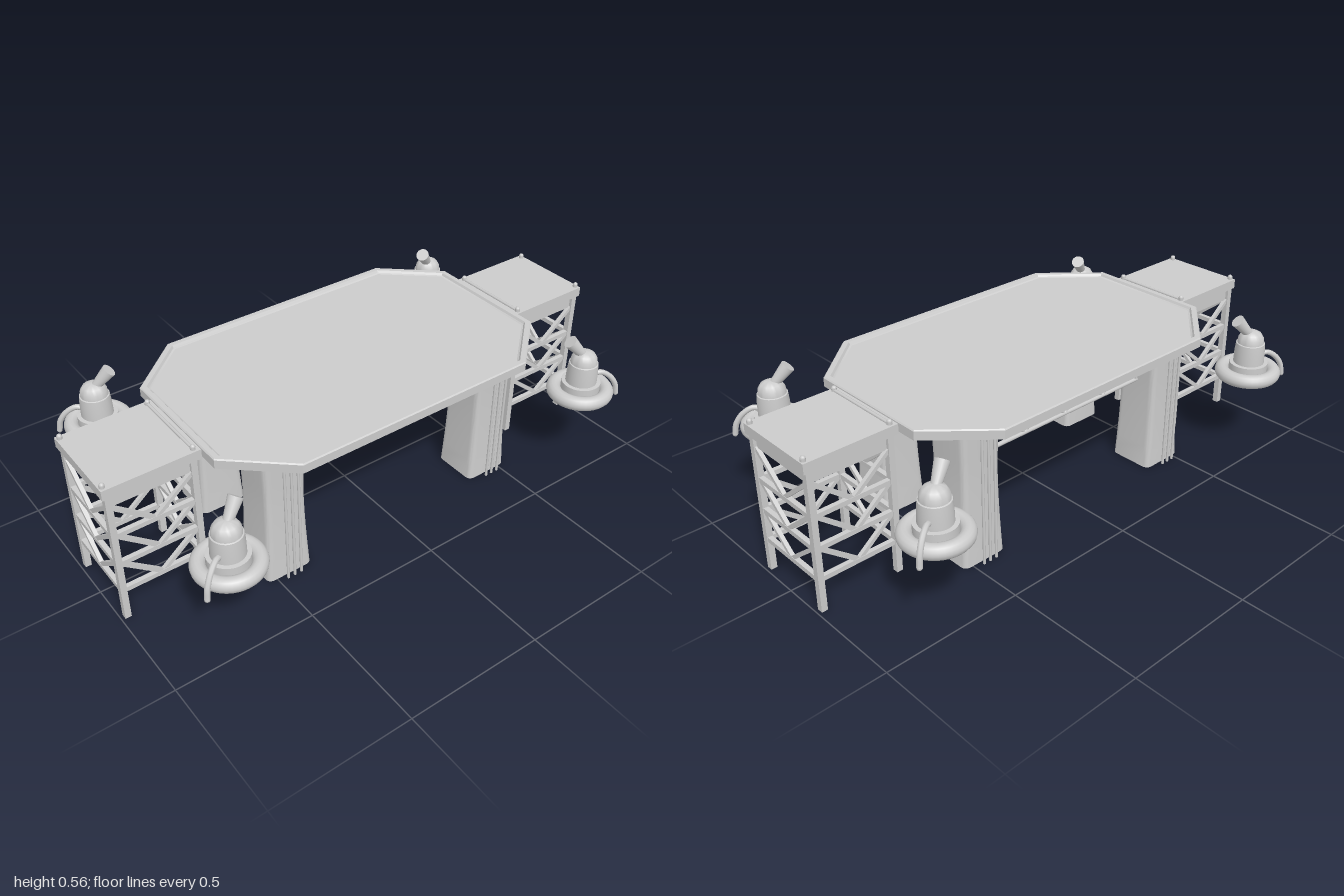
import * as THREE from 'three';
import { toCreasedNormals } from 'three/addons/utils/BufferGeometryUtils.js';

const grey = new THREE.MeshStandardMaterial({ color: 0xcccccc });
const greyOpen = new THREE.MeshStandardMaterial({ color: 0xcccccc, side: THREE.DoubleSide });
const V = (x, y, z) => new THREE.Vector3(x, y, z);

function add(parent, name, geometry, material = grey) {
  const mesh = new THREE.Mesh(geometry, material);
  mesh.name = name;
  parent.add(mesh);
  return mesh;
}

function box(parent, name, x0, x1, y0, y1, z0, z1) {
  const m = add(parent, name, new THREE.BoxGeometry(x1 - x0, y1 - y0, z1 - z0));
  m.position.set((x0 + x1) / 2, (y0 + y1) / 2, (z0 + z1) / 2);
}

// Round rod or tapered pipe between two points
function rod(parent, name, a, b, r0, r1 = r0, sides = 10) {
  const m = add(parent, name, new THREE.CylinderGeometry(r1, r0, a.distanceTo(b), sides));
  m.position.copy(a).add(b).multiplyScalar(0.5);
  m.quaternion.setFromUnitVectors(V(0, 1, 0), b.clone().sub(a).normalize());
}

// Square bar between two points
function bar(parent, name, a, b, w) {
  const m = add(parent, name, new THREE.BoxGeometry(w, w, a.distanceTo(b)));
  m.position.copy(a).add(b).multiplyScalar(0.5);
  m.lookAt(b);
}

// Skin over a stack of closed loops
function loft(rings) {
  const pts = [];
  for (let k = 0; k < rings.length - 1; k++) {
    rings[k].forEach((a, i) => {
      const j = (i + 1) % rings[k].length;
      const b = rings[k][j], c = rings[k + 1][j], d = rings[k + 1][i];
      pts.push(a, d, b, b, d, c);
    });
  }
  return toCreasedNormals(new THREE.BufferGeometry().setFromPoints(pts), 0.5);
}

// Rectangle with cut corners, shrunk by an inset
function octagon(inset) {
  const x = 0.662 - inset, z = 0.415 - inset;
  const cx = 0.46 - inset * 0.38, cz = 0.235 - inset * 0.45;
  return [[cx, -z], [x, -cz], [x, cz], [cx, z], [-cx, z], [-x, cz], [-x, -cz], [-cx, -z]];
}

function makeDeck() {
  const g = new THREE.Group();
  g.name = 'deck';
  const shape = new THREE.Shape(octagon(0.02).map(p => new THREE.Vector2(...p)));
  const panel = new THREE.ExtrudeGeometry(shape, { depth: 0.021, bevelEnabled: false });
  add(g, 'deckPanel', panel.rotateX(-Math.PI / 2).translate(0, 0.517, 0));
  // Rim section, from the underside round to the sloping inner face
  const section = [[0.026, 0.514], [0, 0.514], [0, 0.545], [0.004, 0.549], [0.021, 0.549], [0.026, 0.541], [0.034, 0.537]];
  add(g, 'deckRim', loft(section.map(([inset, y]) => octagon(inset).map(p => V(p[0], y, p[1])))));
  return g;
}

// Open rounded square column with a narrow waist, plus pipes on its outer face
function makeLeg() {
  const g = new THREE.Group();
  g.name = 'leg';
  const h = 0.087, r = 0.025, s = new THREE.Shape();
  s.moveTo(-h + r, -h);
  s.lineTo(h - r, -h); s.quadraticCurveTo(h, -h, h, -h + r);
  s.lineTo(h, h - r); s.quadraticCurveTo(h, h, h - r, h);
  s.lineTo(-h + r, h); s.quadraticCurveTo(-h, h, -h, h - r);
  s.lineTo(-h, -h + r); s.quadraticCurveTo(-h, -h, -h + r, -h);
  const outline = s.getPoints(6).slice(0, -1);
  const rings = [];
  for (let i = 0; i <= 12; i++) {
    const t = i / 12;
    const k = 1 - 0.14 * Math.sin(Math.min(t / 0.65, 1) * Math.PI / 2) + 0.06 * Math.max(0, (t - 0.65) / 0.35);
    rings.push(outline.map(p => V(p.x * k, 0.52 * t, p.y * (0.4 + 0.6 * k))));
  }
  add(g, 'legColumn', loft(rings), greyOpen);
  for (const x of [-0.022, 0.004, 0.03])
    rod(g, 'legPipe', V(x, 0.005, 0.107), V(x, 0.52, 0.107), 0.005, 0.005, 8);
  return g;
}

// Zigzag girder between a pair of legs
function makeGirder() {
  const g = new THREE.Group();
  g.name = 'girder';
  const L = 0.375, lo = 0.342, hi = 0.424, n = 8;
  for (const y of [lo, hi]) rod(g, 'girderChord', V(-L, y, 0), V(L, y, 0), 0.008);
  rod(g, 'girderPipe', V(-L, 0.381, -0.02), V(L, 0.381, -0.02), 0.012);
  for (let i = 0; i < n; i++) {
    const a = -L + 2 * L * i / n, b = -L + 2 * L * (i + 1) / n;
    rod(g, 'girderBrace', V(a, i % 2 ? hi : lo, 0), V(b, i % 2 ? lo : hi, 0), 0.006, 0.006, 6);
  }
  return g;
}

// Scaffold tower with a small platform
function makeTower() {
  const g = new THREE.Group();
  g.name = 'tower';
  const x0 = 0.688, x1 = 0.977, z = 0.145;
  box(g, 'platform', 0.655, 0.997, 0.505, 0.541, -0.161, 0.161);
  box(g, 'platformSkirt', x0, x1, 0.458, 0.506, -z, z);
  rod(g, 'platformRail', V(0.682, 0.543, -z), V(0.682, 0.543, z), 0.006, 0.006, 8);
  const corners = [V(x0, 0, z), V(x1, 0, z), V(x1, 0, -z), V(x0, 0, -z)];
  const levels = [0.118, 0.23, 0.345, 0.458];
  corners.forEach((a, i) => {
    const b = corners[(i + 1) % 4];
    const at = (t, y) => a.clone().lerp(b, t).setY(y);
    box(g, 'towerPost', a.x - 0.011, a.x + 0.011, 0, 0.51, a.z - 0.011, a.z + 0.011);
    const knobX = a.x === x0 ? 0.682 : 0.985;
    rod(g, 'platformStud', V(knobX, 0.53, a.z), V(knobX, 0.55, a.z), 0.009);
    add(g, 'platformKnob', new THREE.SphereGeometry(0.009, 10, 8)).position.set(knobX, 0.55, a.z);
    for (let k = 0; k < 3; k++) {
      bar(g, 'towerCrossbar', at(0, levels[k]), at(1, levels[k]), 0.017);
      bar(g, 'towerBrace', at(0.02, levels[k + 1]), at(0.5, levels[k]), 0.014);
      bar(g, 'towerBrace', at(0.98, levels[k + 1]), at(0.5, levels[k]), 0.014);
    }
  });
  return g;
}

// Hanging bell-shaped unit with a ring, strap and flared neck
function makeBell(sx, sz) {
  const g = new THREE.Group();
  g.name = 'bell';
  const cx = 0.745 * sx, cz = 0.431 * sz;
  const ring = add(g, 'bellRing', new THREE.TorusGeometry(0.094, 0.026, 14, 40));
  ring.rotation.x = Math.PI / 2;
  ring.position.set(cx, 0.328, cz);
  const profile = [[0, 0.335], [0.07, 0.335], [0.07, 0.367], [0.056, 0.368], [0.055, 0.41],
    [0.052, 0.444], [0.048, 0.446], [0.046, 0.465], [0.036, 0.481], [0.02, 0.49], [0, 0.492]];
  const body = new THREE.LatheGeometry(profile.map(p => new THREE.Vector2(...p)), 32);
  add(g, 'bellBody', toCreasedNormals(body, 0.6)).position.set(cx, 0, cz);
  const P = (x, y, z) => V(x * sx, y, z * sz);
  rod(g, 'bellNeck', P(0.742, 0.472, 0.429), P(0.69, 0.537, 0.403), 0.015, 0.025, 20);
  const path = new THREE.CatmullRomCurve3([P(0.782, 0.39, 0.452), P(0.805, 0.397, 0.465),
    P(0.835, 0.378, 0.483), P(0.857, 0.342, 0.497), P(0.864, 0.303, 0.502)]);
  add(g, 'bellStrap', new THREE.TubeGeometry(path, 16, 0.01, 8));
  // Rounded ends of the strap
  for (const t of [0, 1])
    add(g, 'bellStrapEnd', new THREE.SphereGeometry(0.01, 8, 6)).position.copy(path.getPoint(t));
  return g;
}

export function createModel() {
  const model = new THREE.Group();
  model.name = 'platformTable';
  model.add(makeDeck());
  for (const sz of [1, -1]) {
    const turn = sz > 0 ? 0 : Math.PI;
    const girder = makeGirder();
    girder.position.z = 0.21 * sz;
    girder.rotation.y = turn;
    model.add(girder);
    for (const sx of [1, -1]) {
      const leg = makeLeg();
      leg.position.set(0.446 * sx, 0, 0.211 * sz);
      leg.rotation.y = turn;
      model.add(leg, makeBell(sx, sz));
    }
  }
  for (const sx of [1, -1]) {
    const tower = makeTower();
    tower.rotation.y = sx > 0 ? 0 : Math.PI;
    model.add(tower);
    // Cross pieces joining the legs front to back
    const x = 0.446 * sx;
    rod(model, 'crossPipe', V(x, 0.383, -0.145), V(x, 0.383, 0.145), 0.013);
    box(model, 'crossBeam', x - 0.012, x + 0.012, 0.415, 0.455, -0.145, 0.145);
  }
  return model;
}
